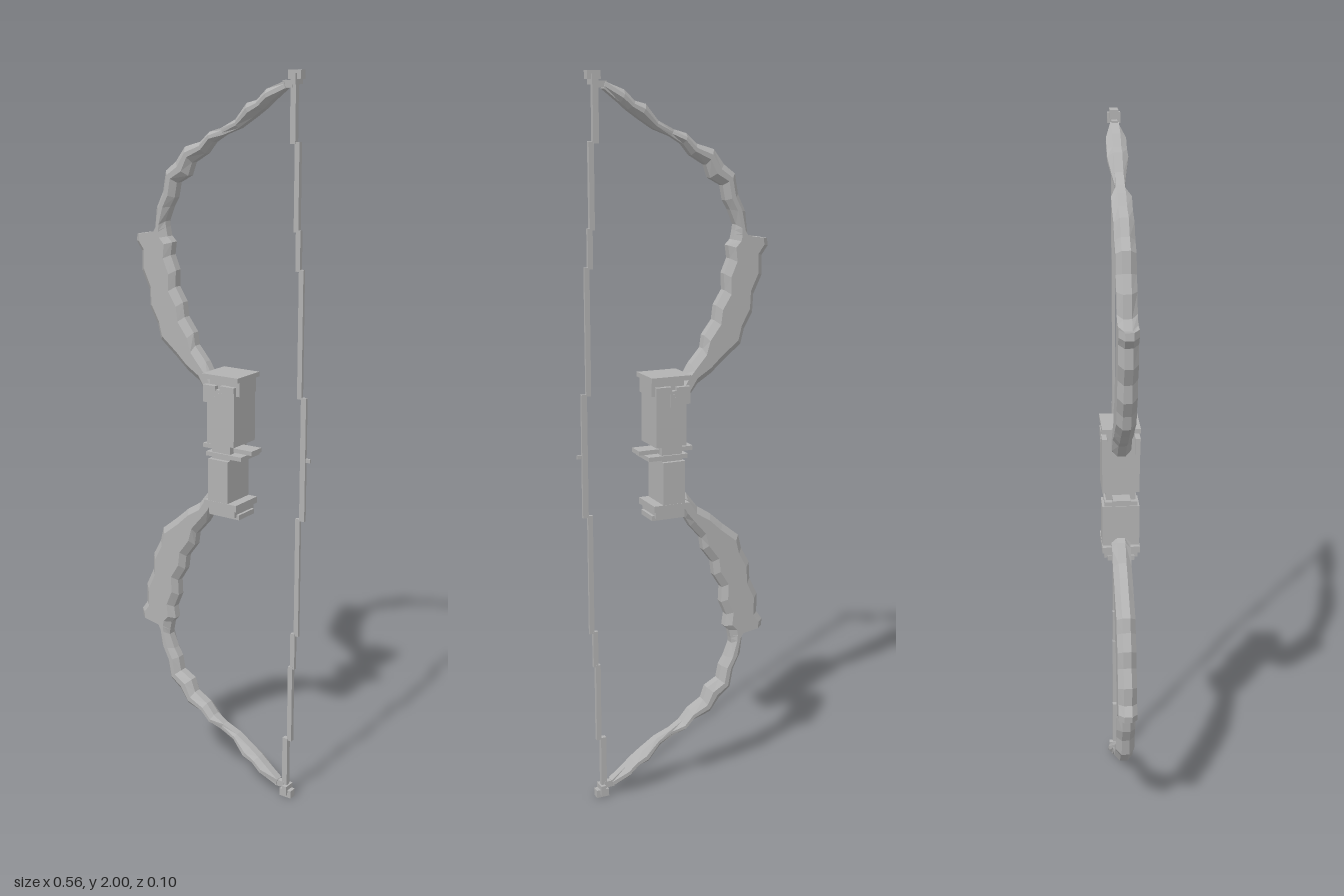
import * as THREE from 'three';

const metal = new THREE.MeshStandardMaterial({ color: 0xb2b2b2, flatShading: true });
metal.name = 'plain grey';

// Limb stations from grip to tip: outer x, outer y, inner x, inner y
const STATIONS = [
  [-0.015, 1.125, -0.015, 1.165],
  [-0.035, 1.13, -0.035, 1.205],
  [-0.07, 1.175, -0.05, 1.23],
  [-0.11, 1.2, -0.085, 1.27],
  [-0.15, 1.235, -0.09, 1.305],
  [-0.2, 1.275, -0.12, 1.345],
  [-0.21, 1.315, -0.125, 1.385],
  [-0.235, 1.36, -0.15, 1.425],
  [-0.238, 1.41, -0.148, 1.47],
  [-0.262, 1.46, -0.165, 1.51],
  [-0.262, 1.515, -0.16, 1.545],
  [-0.28, 1.54, -0.175, 1.56],
  [-0.278, 1.56, -0.178, 1.575],
  [-0.235, 1.55, -0.18, 1.585],
  [-0.217, 1.575, -0.182, 1.6],
  [-0.21, 1.635, -0.165, 1.64],
  [-0.188, 1.68, -0.15, 1.665],
  [-0.178, 1.735, -0.142, 1.705],
  [-0.145, 1.76, -0.105, 1.725],
  [-0.115, 1.8, -0.092, 1.76],
  [-0.065, 1.815, -0.05, 1.785],
  [-0.035, 1.842, -0.025, 1.815],
];
// Slim outer end of the limb, pinched at both ends
const TIP = [
  [-0.035, 1.842, -0.025, 1.815],
  [0.0, 1.852, 0.008, 1.835],
  [0.045, 1.875, 0.055, 1.853],
  [0.08, 1.917, 0.1, 1.882],
  [0.11, 1.925, 0.13, 1.903],
  [0.14, 1.953, 0.15, 1.92],
  [0.19, 1.972, 0.195, 1.955],
];
const TIP_DEPTH = [0.026, 0.012, 0.018, 0.027, 0.026, 0.026, 0.011];

// Loft of bevelled eight-sided sections; side = -1 mirrors it below the grip
function bevelledLoft(stations, depthAt, side) {
  const edge = 0.011, pos = [], idx = [], N = 8;
  stations.forEach(([ox, oy, ix, iy], i) => {
    const width = Math.hypot(ix - ox, iy - oy);
    const t = Math.min(0.35, 0.018 / width), h = depthAt(i);
    const ring = [[0, edge], [t, h], [1 - t, h], [1, edge],
      [1, -edge], [1 - t, -h], [t, -h], [0, -edge]];
    for (const [u, z] of ring) {
      pos.push(ox + (ix - ox) * u, 1 + side * (oy + (iy - oy) * u - 1), z);
    }
  });
  const tri = (a, b, c) => (side > 0 ? idx.push(a, b, c) : idx.push(a, c, b));
  const last = (stations.length - 1) * N;
  for (let s = 0; s < last; s += N) {
    for (let k = 0; k < N; k++) {
      const n = (k + 1) % N;
      tri(s + k, s + n, s + N + n);
      tri(s + k, s + N + n, s + N + k);
    }
  }
  for (let k = 1; k < N - 1; k++) {
    tri(0, k + 1, k);
    tri(last, last + k, last + k + 1);
  }
  const g = new THREE.BufferGeometry();
  g.setAttribute('position', new THREE.Float32BufferAttribute(pos, 3));
  g.setIndex(idx);
  const flat = g.toNonIndexed();
  flat.computeVertexNormals();
  return flat;
}

function add(parent, name, geometry) {
  const m = new THREE.Mesh(geometry, metal);
  m.name = name;
  parent.add(m);
  return m;
}

// Box given by its x range, y range and half depth, centred on z = 0 by default
function block(parent, name, x0, x1, y0, y1, half, z = 0) {
  const m = add(parent, name, new THREE.BoxGeometry(x1 - x0, y1 - y0, half * 2));
  m.position.set((x0 + x1) / 2, (y0 + y1) / 2, z);
  return m;
}

function group(parent, name) {
  const g = new THREE.Group();
  g.name = name;
  parent.add(g);
  return g;
}

export function createModel() {
  const bow = new THREE.Group();
  bow.name = 'bow';

  // Limbs, with the knobs that hold the string
  for (const side of [1, -1]) {
    const limb = group(bow, side > 0 ? 'upperLimb' : 'lowerLimb');
    add(limb, 'limbBlade', bevelledLoft(STATIONS, () => 0.026, side));
    add(limb, 'limbTip', bevelledLoft(TIP, (i) => TIP_DEPTH[i], side));
    const at = (name, x0, x1, y0, y1, h) => block(limb, name, x0, x1,
      side > 0 ? y0 : 2 - y1, side > 0 ? y1 : 2 - y0, h);
    at('tipNeck', 0.185, 0.215, 1.957, 1.975, 0.008);
    at('stringKnob', 0.203, 0.24, 1.978, 2.0, 0.011);
    at('stringKnobCollar', 0.215, 0.229, 1.965, 1.992, 0.017);
  }

  // Grip: two blocks, separated by guard plates
  const grip = group(bow, 'grip');
  block(grip, 'upperGripBlock', -0.018, 0.07, 1.015, 1.168, 0.051);
  block(grip, 'upperGripNeck', -0.018, 0.07, 1.16, 1.2, 0.037);
  block(grip, 'upperGripSpine', 0.05, 0.08, 1.155, 1.2, 0.04);
  block(grip, 'topPlate', -0.033, 0.083, 1.195, 1.208, 0.052);
  block(grip, 'gripCore', -0.01, 0.05, 0.965, 1.02, 0.04);
  block(grip, 'crossGuard', -0.05, 0.11, 0.993, 1.005, 0.024);
  block(grip, 'guardCollar', -0.025, 0.09, 0.978, 0.99, 0.045);
  block(grip, 'guardPeg', 0.0, 0.03, 0.957, 0.98, 0.02);
  block(grip, 'lowerGripBlock', -0.015, 0.05, 0.84, 0.972, 0.051);
  block(grip, 'lowerGripBand', -0.028, 0.078, 0.835, 0.853, 0.052);
  block(grip, 'lowerGripNeck', -0.015, 0.07, 0.815, 0.836, 0.046);
  block(grip, 'bottomPlate', -0.02, 0.078, 0.808, 0.822, 0.037);

  // Stepped ornament under the top plate, on front and back
  const steps = [
    [-0.03, 0.01, 1.165, 1.178], [-0.03, -0.012, 1.13, 1.165],
    [-0.012, 0.004, 1.145, 1.168], [0.0, 0.014, 1.1, 1.15],
    [0.014, 0.03, 1.125, 1.16], [0.025, 0.07, 1.165, 1.18],
    [0.045, 0.06, 1.14, 1.168],
  ];
  for (const z of [1, -1]) {
    steps.forEach(([x0, x1, y0, y1]) =>
      block(grip, 'gripOrnament', x0, x1, y0, y1, 0.007, z * 0.045));
  }

  // String in overlapping straight pieces, stepping outward to the middle
  const string = group(bow, 'string');
  const pieces = [
    [0.208, 0.224, 1.82, 1.985, 0.007], [0.222, 0.236, 1.6, 1.825, 0.006],
    [0.228, 0.242, 1.5, 1.605, 0.005], [0.238, 0.252, 1.165, 1.505, 0.004],
  ];
  for (const [x0, x1, y0, y1, h] of pieces) {
    block(string, 'upperStringPiece', x0, x1, y0, y1, h);
    block(string, 'lowerStringPiece', x0, x1, 2 - y1, 2 - y0, h);
  }
  block(string, 'middleStringPiece', 0.25, 0.266, 0.83, 1.17, 0.004);
  block(string, 'nockingPoint', 0.264, 0.28, 0.996, 1.006, 0.003);
  return bow;
}
